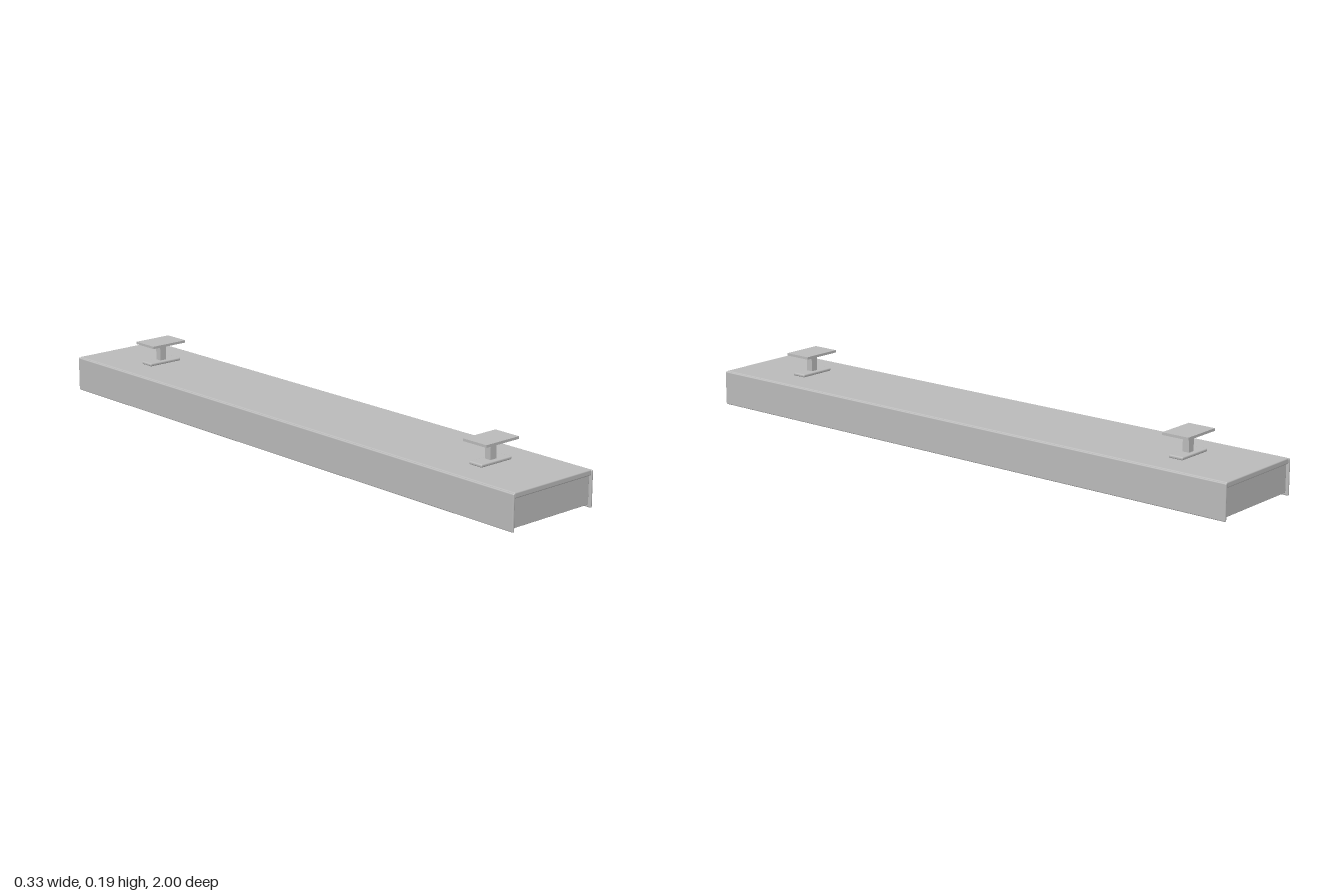
import * as THREE from 'three';
import { RoundedBoxGeometry } from 'three/addons/geometries/RoundedBoxGeometry.js';

export function createModel() {
  const model = new THREE.Group();
  model.name = 'twinTubeLight';
  const grey = new THREE.MeshStandardMaterial({ color: 0xbbbbbb });
  grey.name = 'grey metal';
  const greySheet = new THREE.MeshStandardMaterial({ color: 0xbbbbbb, side: THREE.DoubleSide });
  greySheet.name = 'grey sheet';

  function add(name, geometry, x, y, z, material = grey, parent = model) {
    const mesh = new THREE.Mesh(geometry, material);
    mesh.name = name;
    mesh.position.set(x, y, z);
    parent.add(mesh);
    return mesh;
  }
  const box = (w, h, d) => new THREE.BoxGeometry(w, h, d);
  const rounded = (w, h, d, r) => new RoundedBoxGeometry(w, h, d, 2, r);

  // Housing: lid, long side panels and slightly recessed end plates
  add('lid', rounded(0.318, 0.018, 1.996, 0.004), 0, 0.108, 0);
  for (const s of [-1, 1]) {
    add('sidePanel', rounded(0.008, 0.112, 2, 0.0035), s * 0.161, 0.059, 0);
    add('endPlate', rounded(0.316, 0.088, 0.008, 0.002), 0, 0.055, s * 0.987);
  }

  // Shallow roof-shaped reflector, extruded along the housing
  const profile = new THREE.Shape([
    [-0.157, 0.03], [0, 0.094], [0.157, 0.03], [0.157, 0.034], [0, 0.098], [-0.157, 0.034],
  ].map(([x, y]) => new THREE.Vector2(x, y)));
  const reflector = new THREE.ExtrudeGeometry(profile, { depth: 1.86, bevelEnabled: false });
  reflector.translate(0, 0, -0.93);
  add('reflector', reflector, 0, 0, 0, greySheet);
  add('ballastCover', box(0.044, 0.014, 1.52), 0, 0.091, 0);

  // Two tubes with a socket at each end
  for (const x of [-0.08, 0.08]) {
    const tube = new THREE.CylinderGeometry(0.022, 0.022, 1.88, 24);
    tube.rotateX(Math.PI / 2);
    add('tube', tube, x, 0.029, 0);
    for (const s of [-1, 1]) {
      add('socket', rounded(0.044, 0.052, 0.046, 0.004), x, 0.035, s * 0.961);
    }
  }

  // Ceiling mounts: foot, stem and fixing plate
  for (const z of [-0.757, 0.757]) {
    const mount = new THREE.Group();
    mount.name = 'ceilingMount';
    mount.position.z = z;
    model.add(mount);
    add('mountFoot', rounded(0.126, 0.01, 0.05, 0.004), 0, 0.122, 0, grey, mount);
    add('mountStem', box(0.024, 0.06, 0.022), 0, 0.154, 0, grey, mount);
    add('mountPlate', box(0.134, 0.008, 0.092), 0, 0.186, 0, grey, mount);
  }
  return model;
}
